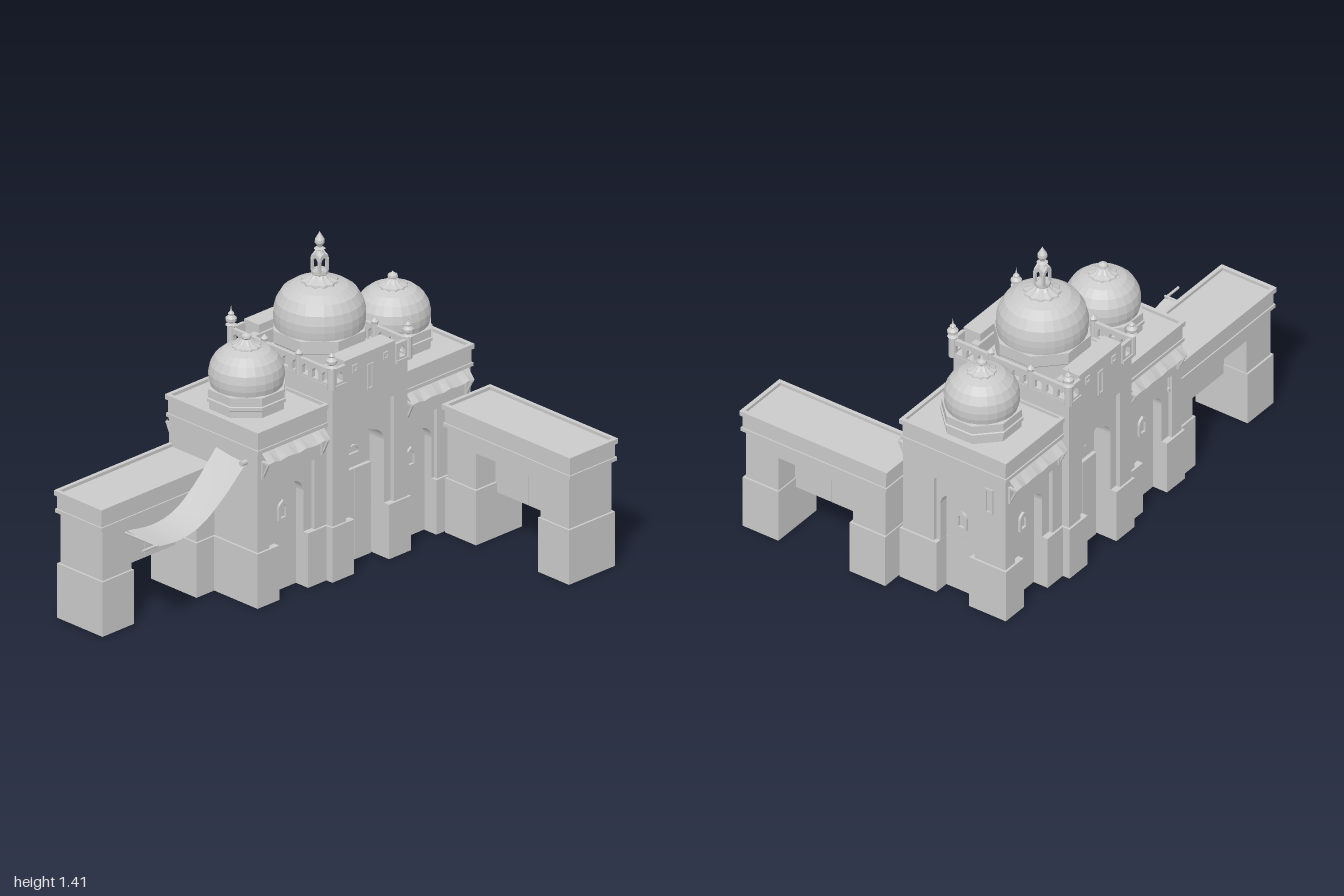
import * as THREE from 'three';

const stone = new THREE.MeshStandardMaterial({ color: 0xcacaca, side: THREE.DoubleSide });
stone.name = 'greyStone';

function add(parent, name, geo, x = 0, y = 0, z = 0) {
  const m = new THREE.Mesh(geo, stone);
  m.name = name;
  m.position.set(x, y, z);
  parent.add(m);
  return m;
}
function group(parent, name, x = 0, y = 0, z = 0, ry = 0) {
  const g = new THREE.Group();
  g.name = name;
  g.position.set(x, y, z);
  g.rotation.y = ry;
  parent.add(g);
  return g;
}
// Box from its extents; open boxes have no underside
function box(parent, name, x0, x1, y0, y1, z0, z1, open = false) {
  const g = new THREE.BoxGeometry(x1 - x0, y1 - y0, z1 - z0);
  if (open) g.setIndex(Array.from(g.index.array).filter((v, i) => i < 18 || i >= 24));
  return add(parent, name, g, (x0 + x1) / 2, (y0 + y1) / 2, (z0 + z1) / 2);
}
function flat(geo) {
  const g = geo.toNonIndexed();
  g.computeVertexNormals();
  return g;
}
function lathe(parent, name, pts, segs, x = 0, y = 0, z = 0, turn = 0) {
  const g = new THREE.LatheGeometry(pts.map(p => new THREE.Vector2(...p)), segs);
  g.rotateY(turn);
  return add(parent, name, flat(g), x, y, z);
}
const extrude = (shape, depth) =>
  new THREE.ExtrudeGeometry(shape, { depth, bevelEnabled: false, curveSegments: 6 });

// Continues a path along a pointed ogee arch, from its left foot to its right foot
function archPath(p, cx, a, foot, spring, tip) {
  const r = tip - spring;
  p.lineTo(cx - a, foot);
  p.lineTo(cx - a, spring);
  p.quadraticCurveTo(cx - a * 0.95, spring + r * 0.5, cx - a * 0.5, spring + r * 0.7);
  p.quadraticCurveTo(cx - a * 0.2, spring + r * 0.8, cx, tip);
  p.quadraticCurveTo(cx + a * 0.2, spring + r * 0.8, cx + a * 0.5, spring + r * 0.7);
  p.quadraticCurveTo(cx + a * 0.95, spring + r * 0.5, cx + a, spring);
  p.lineTo(cx + a, foot);
  return p;
}
function archOutline(P, cx, a, foot, spring, tip) {
  const p = new P();
  p.moveTo(cx - a, foot);
  archPath(p, cx, a, foot, spring, tip);
  p.closePath();
  return p;
}
function rect(P, x0, x1, y0, y1) {
  const p = new P();
  p.moveTo(x0, y0); p.lineTo(x1, y0); p.lineTo(x1, y1); p.lineTo(x0, y1);
  p.closePath();
  return p;
}
function smallWindow(parent, cx, y0, z) {
  const s = archOutline(THREE.Shape, cx, 0.026, y0, y0 + 0.055, y0 + 0.088);
  s.holes.push(archOutline(THREE.Path, cx, 0.015, y0 + 0.01, y0 + 0.05, y0 + 0.072));
  add(parent, 'nicheWindow', extrude(s, 0.012), 0, 0, z);
}
function slit(parent, cx, y0, y1, half, z) {
  const s = rect(THREE.Shape, cx - half, cx + half, y0, y1);
  s.holes.push(rect(THREE.Path, cx - half * 0.6, cx + half * 0.6, y0 + 0.01, y1 - 0.01));
  add(parent, 'slitWindow', extrude(s, 0.006), 0, 0, z);
}

// Wall with a sunk panel and an arched niche, resting on hollow plinths; its face lies on z = 0
function facade(parent, w, h, o) {
  const { cx = 0, panel, panelH, a, spring, tip, t1, t2 } = o;
  const H = w / 2, foot = 0.2452;
  const wall = cut => {
    const s = new THREE.Shape();
    s.moveTo(-H, foot);
    cut(s);
    s.lineTo(H, foot); s.lineTo(H, h); s.lineTo(-H, h);
    s.closePath();
    return s;
  };
  add(parent, 'outerWall', extrude(wall(s => {
    s.lineTo(cx - panel, foot); s.lineTo(cx - panel, panelH);
    s.lineTo(cx + panel, panelH); s.lineTo(cx + panel, foot);
  }), t1), 0, 0, -t1);
  add(parent, 'archedWall', extrude(wall(s => archPath(s, cx, a, foot, spring, tip)), t2), 0, 0, -t1 - t2);
  box(parent, 'plinth', -H - 0.01, cx - a, 0, 0.245, -t1 - t2, 0.01, true);
  box(parent, 'plinth', cx + a, H + 0.01, 0, 0.245, -t1 - t2, 0.01, true);
}
// Lip, frieze, raised rim and sunk roof
function cornice(parent, x0, x1, z0, z1, y0, y1) {
  box(parent, 'corniceLip', x0 + 0.003, x1 - 0.003, y0, y0 + 0.016, z0 + 0.003, z1 - 0.003);
  box(parent, 'frieze', x0 + 0.009, x1 - 0.009, y0, y1 - 0.014, z0 + 0.009, z1 - 0.009);
  const s = rect(THREE.Shape, x0, x1, -z1, -z0);
  s.holes.push(rect(THREE.Path, x0 + 0.018, x1 - 0.018, -z1 + 0.018, -z0 - 0.018));
  add(parent, 'roofRim', extrude(s, 0.022).rotateX(-Math.PI / 2), 0, y1 - 0.022, 0);
}
// Gateway along x, with its free end at -x
function gateway(parent, name, x, z, ry) {
  const g = group(parent, name, x, 0, z, ry);
  for (const [x0, x1] of [[-0.36, -0.18], [0.18, 0.36]]) {
    box(g, 'pierPlinth', x0, x1, 0, 0.245, -0.132, 0.132, true);
    box(g, 'pier', x0 + 0.01, x1 - 0.005, 0.245, 0.48, -0.123, 0.123);
  }
  box(g, 'lintel', -0.35, 0.35, 0.408, 0.485, -0.123, 0.123);
  for (const s of [-1, 1])
    box(g, 'hangingDoor', Math.min(0, s * 0.19) + 0.001, Math.max(0, s * 0.19) - 0.001, 0.2, 0.41, -0.01, 0.01);
  cornice(g, -0.372, 0.372, -0.139, 0.139, 0.476, 0.575);
}
// Scalloped cap with alternating rib radii
function petalCap(parent, r, h, y) {
  const g = new THREE.LatheGeometry([[r * 0.9, -0.006], [r, 0], [r * 0.97, h * 0.2], [r * 0.6, h * 0.5], [r * 0.3, h]]
    .map(p => new THREE.Vector2(...p)), 24);
  const p = g.attributes.position;
  for (let i = 0; i < p.count; i++) {
    const k = Math.floor(i / 5) % 2 ? 0.9 : 1;
    p.setX(i, p.getX(i) * k);
    p.setZ(i, p.getZ(i) * k);
  }
  add(parent, 'petalCap', flat(g), 0, y, 0);
}
// Parapet pierced by little arches, centred on x = 0
function balustrade(parent, len, n, x, z, ry) {
  const s = rect(THREE.Shape, -len / 2, len / 2, 0, 0.078);
  for (let i = 0; i < n; i++)
    s.holes.push(archOutline(THREE.Path, ((i + 0.5) / n - 0.5) * len, 0.017, 0.012, 0.038, 0.06));
  const g = group(parent, 'balustrade', x, 0.875, z, ry);
  add(g, 'piercedParapet', extrude(s, 0.016), 0, 0, -0.008);
}
// Ragged sloping shade cloth with brackets beneath
function awning(parent, cx, half) {
  const v = [], idx = [], n = 10;
  for (let i = 0; i <= n; i++) {
    const x = cx - half + (2 * half * i) / n, j = 0.006 * Math.sin(i * 2.3);
    v.push(x, 0.692, 0.262, x, 0.65 + j, 0.303 + j * 0.5);
    if (i < n) idx.push(2 * i, 2 * i + 1, 2 * i + 3, 2 * i, 2 * i + 3, 2 * i + 2);
  }
  const g = new THREE.BufferGeometry();
  g.setAttribute('position', new THREE.Float32BufferAttribute(v, 3));
  g.setIndex(idx);
  add(parent, 'awning', flat(g));
  for (const s of [-0.95, 0.95]) {
    const x = cx + s * half;
    box(parent, 'bracketPost', x - 0.008, x + 0.008, 0.57, 0.65, 0.255, 0.268);
    box(parent, 'bracketArm', x - 0.005, x + 0.005, 0.64, 0.65, 0.255, 0.3);
    add(parent, 'bracketBrace', new THREE.BoxGeometry(0.008, 0.075, 0.008), x, 0.613, 0.28).rotation.x = 0.45;
  }
}

export function createModel() {
  const model = new THREE.Group();
  model.name = 'domedGatehouse';
  const hall = group(model, 'hall', 0.278, 0, -0.348);
  const wingArch = { panel: 0.13, panelH: 0.56, a: 0.083, spring: 0.43, tip: 0.508, t1: 0.018, t2: 0.042 };

  // Hollow base under the whole hall
  box(hall, 'hollowBase', -0.552, 0.552, 0, 0.245, -0.197, 0.197, true);

  // Wings with their domes
  for (const s of [-1, 1]) {
    const wing = group(hall, 'wing', s * 0.414);
    box(wing, 'wingCore', -0.1975 + (s < 0 ? 0.06 : 0), 0.1975 - (s > 0 ? 0.06 : 0), 0.245, 0.69, -0.198, 0.198);
    for (const face of [1, -1]) {
      const f = group(wing, 'wingFacade', 0, 0, face * 0.258, face > 0 ? 0 : Math.PI);
      const o = { ...wingArch };
      if (face > 0 && s > 0) { o.cx = -0.092; o.panel = 0.098; }
      facade(f, 0.395, 0.69, o);
      smallWindow(f, o.cx || 0, 0.315, -0.061);
      const shade = group(wing, 'shade', 0, 0, 0, face > 0 ? 0 : Math.PI);
      awning(shade, 0, 0.18);
    }
    cornice(wing, -0.208, 0.208, -0.27, 0.27, 0.69, 0.79);
    const tower = group(wing, 'wingDome', s * 0.006);
    lathe(tower, 'octagonDrum', [[0.166, 0.775], [0.166, 0.806], [0.175, 0.811], [0.175, 0.825], [0.169, 0.828],
      [0.169, 0.865], [0.14, 0.868]], 8, 0, 0, 0, Math.PI / 8);
    lathe(tower, 'sideDome', [[0.148, 0.855], [0.156, 0.89], [0.157, 0.92], [0.15, 0.955], [0.13, 0.99],
      [0.098, 1.017], [0.055, 1.032], [0, 1.038]], 24);
    petalCap(tower, 0.064, 0.032, 1.031);
    lathe(tower, 'sideFinial', [[0.016, 1.05], [0.012, 1.062], [0.022, 1.07], [0.02, 1.08], [0.006, 1.088], [0, 1.095]], 10);
  }

  // End walls: arched on the left, plain on the right
  const end = group(hall, 'endFacade', 0.6115, 0, 0, Math.PI / 2);
  facade(end, 0.396, 0.69, { ...wingArch, panel: 0.103 });
  smallWindow(end, 0, 0.315, -0.061);
  slit(end, 0.178, 0.5, 0.622, 0.02, 0);
  box(hall, 'plainEndWall', -0.6115, -0.55, 0.2452, 0.69, -0.198, 0.198);
  box(hall, 'plainEndPlinth', -0.6215, -0.553, 0, 0.245, -0.2, 0.2, true);

  // Central block, the same front and back
  box(hall, 'centralCore', -0.216, 0.216, 0.245, 0.87, -0.187, 0.187);
  for (const face of [1, -1]) {
    const f = group(hall, 'portal', 0, 0, face * 0.292, face > 0 ? 0 : Math.PI);
    facade(f, 0.432, 0.87, { panel: 0.137, panelH: 0.722, a: 0.1, spring: 0.53, tip: 0.617, t1: 0.02, t2: 0.085 });
    for (const s of [-1, 1])
      box(f, 'doorLeaf', s * 0.047 - 0.046, s * 0.047 + 0.046, 0, 0.41, -0.106, -0.088);
    const fan = new THREE.Shape();
    fan.absarc(0, 0.468, 0.044, 0, Math.PI, false);
    const hole = new THREE.Path();
    hole.absarc(0, 0.476, 0.03, 0, Math.PI, false);
    fan.holes.push(hole);
    add(f, 'fanWindow', extrude(fan, 0.012), 0, 0, -0.106);
    box(f, 'raisedParapet', -0.145, 0.145, 0.86, 0.967, -0.085, 0);
    box(f, 'parapetBack', -0.175, 0.175, 0.86, 0.93, -0.095, -0.06);
    slit(f, 0, 0.795, 0.912, 0.017, 0);
    for (const s of [-1, 1]) {
      slit(f, s * 0.09, 0.9, 0.935, 0.014, 0);
      balustrade(f, 0.07, 1, s * 0.18, 0, 0);
      box(f, 'parapetLedge', s * 0.185 - 0.04, s * 0.185 + 0.04, 0.862, 0.878, -0.06, 0.014);
      // Corner finials
      lathe(f, 'cornerFinial', [[0.017, 0.865], [0.017, 0.962], [0.024, 0.966], [0.01, 0.974], [0.023, 0.984],
        [0.024, 0.997], [0.01, 1.01], [0.014, 1.016], [0.004, 1.028], [0, 1.055]], 10, s * 0.22, 0, 0);
    }
  }
  for (const s of [-1, 1]) {
    balustrade(hall, 0.575, 10, s * 0.218, 0, Math.PI / 2);
    box(hall, 'sideLedge', s * 0.213 - 0.015, s * 0.213 + 0.015, 0.862, 0.878, -0.3, 0.3);
    for (const z of [-0.1, 0.1])
      lathe(hall, 'railKnob', [[0.014, 0.87], [0.014, 0.96], [0.017, 0.968], [0, 0.985]], 8, s * 0.218, 0, z);
  }

  // Great dome, lantern and spire
  lathe(hall, 'greatDrum', [[0.2, 0.865], [0.2, 0.94], [0.204, 0.945], [0.204, 0.998], [0.15, 1.002]], 8, 0, 0, 0, Math.PI / 8);
  lathe(hall, 'greatDome', [[0.185, 0.98], [0.189, 1.01], [0.191, 1.035], [0.19, 1.065], [0.18, 1.105],
    [0.156, 1.145], [0.118, 1.172], [0.07, 1.188], [0, 1.194]], 28);
  petalCap(hall, 0.08, 0.045, 1.186);
  lathe(hall, 'lanternBase', [[0.03, 1.212], [0.036, 1.225], [0.036, 1.238], [0, 1.238]], 8);
  for (let i = 0; i < 4; i++) {
    const s = archOutline(THREE.Shape, 0, 0.028, 1.236, 1.285, 1.318);
    s.holes.push(archOutline(THREE.Path, 0, 0.015, 1.24, 1.275, 1.298));
    const side = group(hall, 'lanternSide', 0, 0, 0, i * Math.PI / 2);
    add(side, 'lanternArch', extrude(s, 0.009), 0, 0, 0.017);
  }
  lathe(hall, 'spire', [[0.026, 1.3], [0.016, 1.318], [0.012, 1.326], [0.024, 1.333], [0.01, 1.341], [0.012, 1.346],
    [0.021, 1.362], [0.02, 1.375], [0.008, 1.395], [0, 1.41]], 12);

  // Two gateways
  gateway(model, 'rightGateway', -0.625, -0.464, 0);
  gateway(model, 'leftGateway', 0.857, 0.288, Math.PI / 2);

  // Hanging canopy with its poles, its back edge a little higher
  const canopy = group(model, 'canopy');
  const curve = new THREE.CatmullRomCurve3([[-0.85, 0.425], [-0.72, 0.412], [-0.6, 0.435], [-0.48, 0.51], [-0.34, 0.635]]
    .map(p => new THREE.Vector3(p[0], p[1], 0)));
  const pts = curve.getPoints(16), v = [], idx = [];
  pts.forEach((p, i) => {
    const bow = 0.014 * Math.sin(Math.PI * i / 16);
    v.push(p.x, p.y - 0.004, -0.15 - bow * 0.3, p.x, p.y, -0.235, p.x, p.y + 0.012, -0.325 + bow);
    if (i < 16) for (const k of [0, 1]) {
      const a = i * 3 + k;
      idx.push(a, a + 3, a + 4, a, a + 4, a + 1);
    }
  });
  const cloth = new THREE.BufferGeometry();
  cloth.setAttribute('position', new THREE.Float32BufferAttribute(v, 3));
  cloth.setIndex(idx);
  cloth.computeVertexNormals();
  add(canopy, 'cloth', cloth);
  add(canopy, 'pole', new THREE.CylinderGeometry(0.006, 0.006, 0.09, 8).rotateZ(Math.PI / 2), -0.885, 0.425, -0.156);
  add(canopy, 'crossPole', new THREE.CylinderGeometry(0.005, 0.005, 0.19, 8).rotateX(Math.PI / 2), -0.85, 0.425, -0.24);
  add(canopy, 'wallPeg', new THREE.CylinderGeometry(0.012, 0.012, 0.03, 8).rotateZ(Math.PI / 2), -0.35, 0.635, -0.155);
  return model;
}
